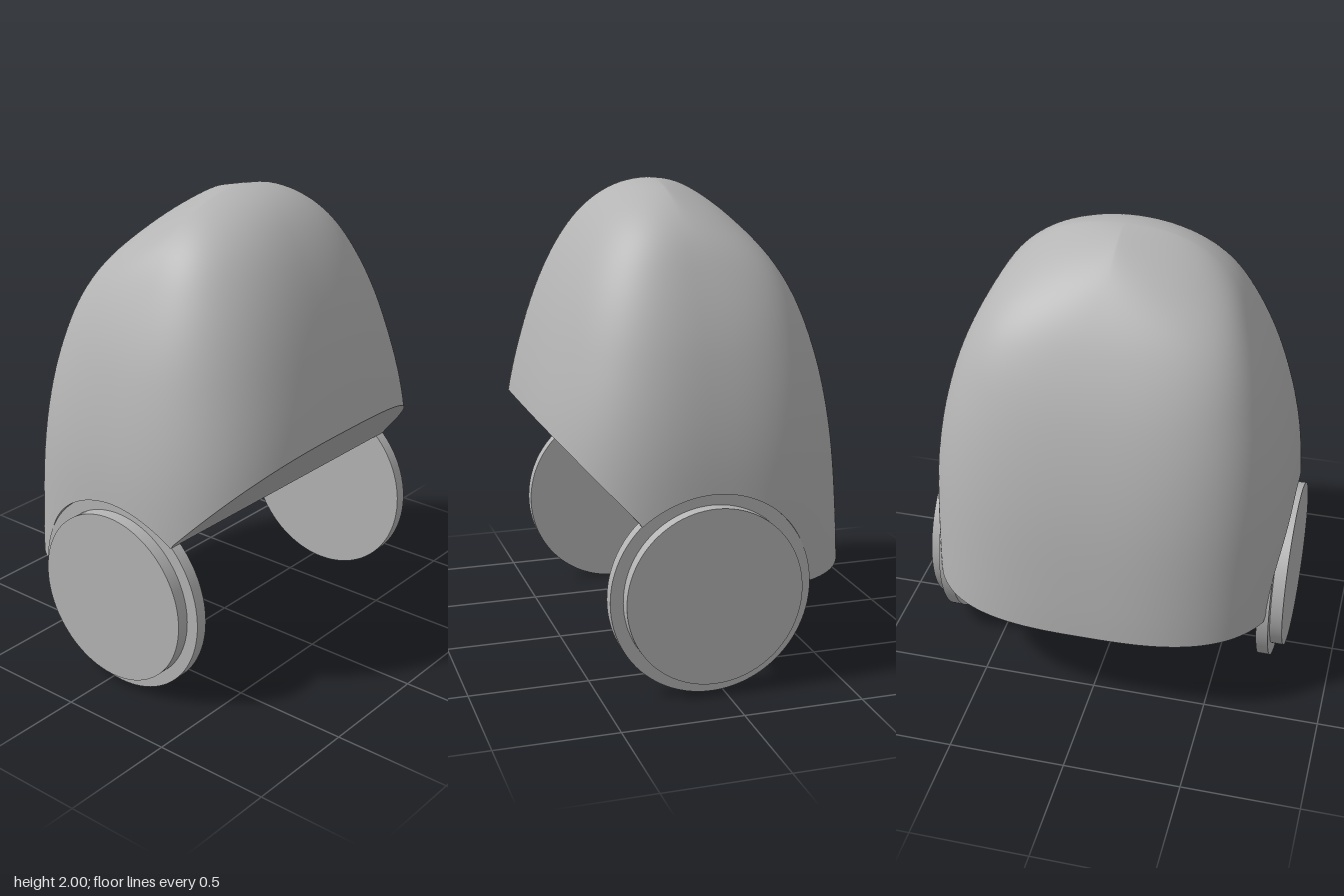
import * as THREE from 'three';
import { toCreasedNormals } from 'three/addons/utils/BufferGeometryUtils.js';

const HUB = { x: 0.05, y: 0.42, r: 0.42 };

// Cross-sections down the dome, keyed by sqrt(depth below the top):
// left x, right x, centre x, half depth, left squareness, right squareness
const keys = [0, 0.2, 0.4, 0.6, 0.8, 1.0, 1.2, 1.3];
const sections = [
  0.07, 0.07, 0.07, 0, 1.15, 1.8,
  -0.082, 0.235, 0.075, 0.25, 1.35, 2.0,
  -0.24, 0.375, 0.07, 0.44, 2.2, 2.3,
  -0.39, 0.495, 0.055, 0.575, 3.6, 2.5,
  -0.52, 0.595, 0.04, 0.69, 3.3, 2.6,
  -0.61, 0.67, 0.03, 0.765, 3.0, 2.8,
  -0.655, 0.70, 0.02, 0.785, 2.9, 2.9,
  -0.665, 0.70, 0.02, 0.785, 2.9, 2.9,
];
const profile = new THREE.CubicInterpolant(keys, sections, 6);

// Point on the dome: u sets the height, k runs -1..1 across x
function domePoint(u, k, side) {
  const [xl, xr, c, w, nl, nr] = profile.evaluate(u);
  const n = k < 0 ? nl : nr;
  const x = c + k * (k < 0 ? c - xl : xr - c);
  const z = side * w * Math.pow(Math.max(0, 1 - Math.pow(Math.abs(k), n)), 1 / n);
  return [x, 2 - u * u, z];
}

// Lower edge: flat rear, round hub recess, then a sloping cut
function edgeHeight(x) {
  if (x < HUB.x - HUB.r) return HUB.y;
  if (x < 0.34) return HUB.y + Math.sqrt(Math.max(0, HUB.r ** 2 - (x - HUB.x) ** 2));
  return 0.73 + (x - 0.34) * 1.09;
}

function edgeDepth(k) {
  let lo = 0.5, hi = 1.3;
  for (let i = 0; i < 40; i++) {
    const u = (lo + hi) / 2;
    const [x, y] = domePoint(u, k, 1);
    if (y > edgeHeight(x)) lo = u; else hi = u;
  }
  return lo;
}

function makeGeometry(positions, index) {
  const g = new THREE.BufferGeometry();
  g.setAttribute('position', new THREE.Float32BufferAttribute(positions, 3));
  g.setIndex(index);
  g.computeVertexNormals();
  return g;
}

export function createModel() {
  const group = new THREE.Group();
  const grey = new THREE.MeshStandardMaterial({ color: 0xb4b4b4 });
  grey.name = 'plain grey';

  const add = (name, geometry) => {
    const mesh = new THREE.Mesh(geometry, grey);
    mesh.name = name;
    group.add(mesh);
    return mesh;
  };

  // Dome shell: columns rising from the lower edge to the top
  const half = 160, around = half * 2, rows = 48;
  const depths = [];
  for (let j = 0; j <= half; j++) depths.push(edgeDepth(Math.cos((Math.PI * j) / half)));
  const pos = [], idx = [];
  for (let i = 0; i <= rows; i++) {
    for (let j = 0; j < around; j++) {
      const m = j <= half ? j : around - j;
      const k = Math.cos((Math.PI * m) / half);
      pos.push(...domePoint(depths[m] * (1 - i / rows), k, j <= half ? 1 : -1));
    }
  }
  for (let i = 0; i < rows; i++) {
    for (let j = 0; j < around; j++) {
      const a = i * around + j, b = i * around + ((j + 1) % around);
      const c = a + around, d = b + around;
      idx.push(a, c, b);
      if (i < rows - 1) idx.push(b, c, d);
    }
  }
  add('domeShell', makeGeometry(pos, idx));

  // Underside: ruled surface joining the front and back lower edges
  const under = [], underIdx = [];
  for (let j = 0; j <= half; j++) {
    const k = Math.cos((Math.PI * j) / half);
    under.push(...domePoint(depths[j], k, 1), ...domePoint(depths[j], k, -1));
    if (j < half) {
      const p = j * 2;
      underIdx.push(p, p + 2, p + 1, p + 1, p + 2, p + 3);
    }
  }
  add('underside', toCreasedNormals(makeGeometry(under, underIdx), 0.4));

  // Round side discs, each with a smaller cap outside
  for (const side of [1, -1]) {
    const name = side > 0 ? 'front' : 'back';
    const disc = (part, r, z0, z1) => {
      const g = new THREE.CylinderGeometry(r, r, z1 - z0, 96);
      g.rotateX(Math.PI / 2);
      add(name + part, g).position.set(HUB.x, HUB.y, (side * (z0 + z1)) / 2);
    };
    disc('Disc', HUB.r, 0.69, 0.742);
    disc('DiscCap', 0.367, 0.742, 0.795);
  }
  return group;
}
